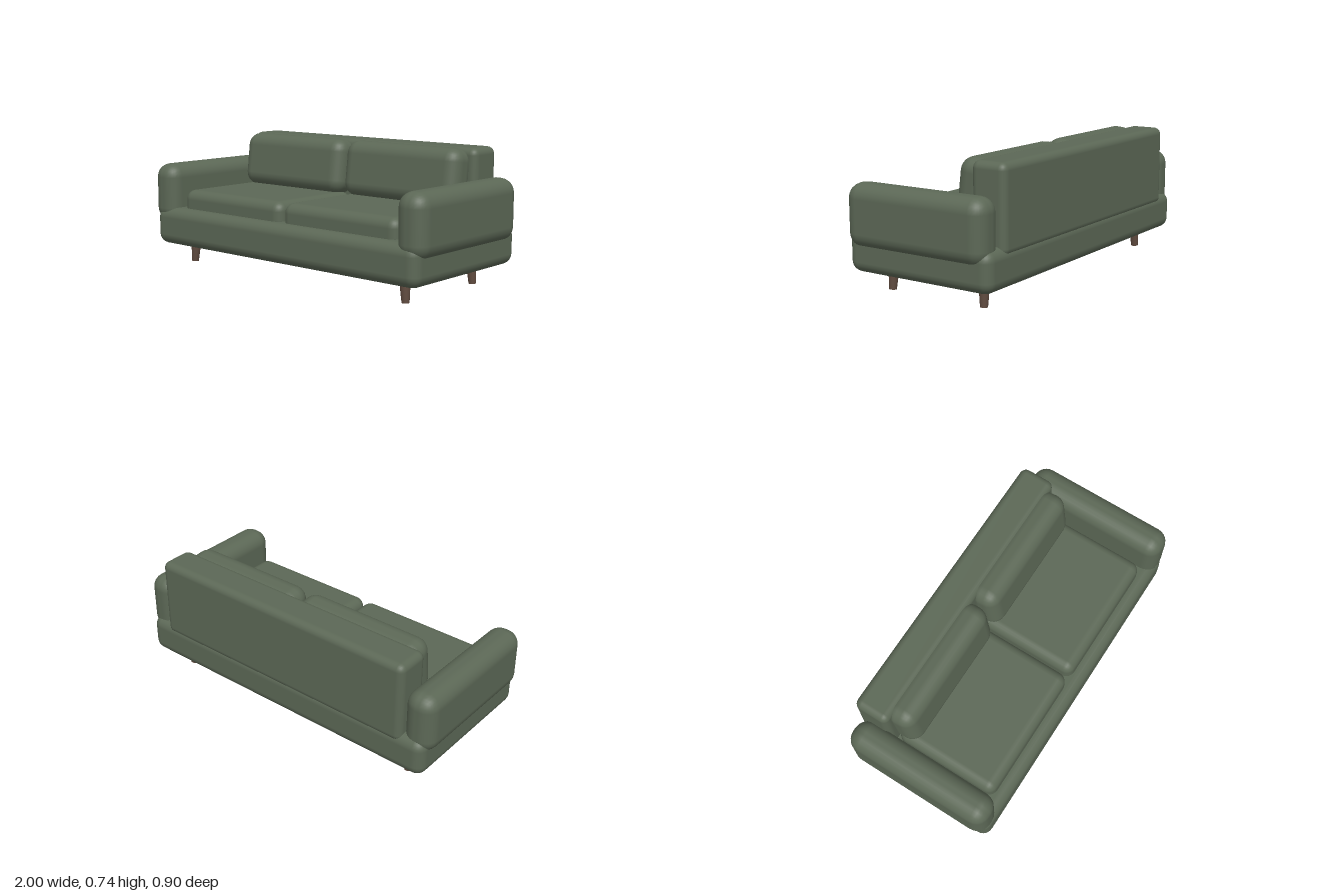
import * as THREE from 'three';
import { RoundedBoxGeometry } from 'three/addons/geometries/RoundedBoxGeometry.js';

const fabric = new THREE.MeshStandardMaterial({ color: 0x5c6856 });
fabric.name = 'greenFabric';
const wood = new THREE.MeshStandardMaterial({ color: 0x614c40 });
wood.name = 'brownWood';

// Upholstered block with soft edges, placed by its centre
function pad(name, [w, h, d], [x, y, z], radius) {
  const mesh = new THREE.Mesh(new RoundedBoxGeometry(w, h, d, 3, radius), fabric);
  mesh.name = name;
  mesh.position.set(x, y, z);
  return mesh;
}

export function createModel() {
  const sofa = new THREE.Group();
  sofa.name = 'sofa';

  // Frame
  sofa.add(pad('base', [1.94, 0.22, 0.9], [0, 0.222, 0], 0.06));
  sofa.add(pad('backrest', [1.67, 0.465, 0.205], [0, 0.511, -0.348], 0.04));

  for (const side of [-1, 1]) {
    const label = side > 0 ? 'left' : 'right';

    // Arm and cushions
    sofa.add(pad(label + 'Arm', [0.18, 0.342, 0.87], [side * 0.91, 0.417, 0.01], 0.08));
    sofa.add(pad(label + 'SeatCushion', [0.79, 0.16, 0.62], [side * 0.402, 0.36, 0.07], 0.055));
    const backCushion = pad(label + 'BackCushion', [0.785, 0.318, 0.18], [side * 0.402, 0.585, -0.202], 0.075);
    backCushion.rotation.x = -0.12;
    sofa.add(backCushion);

    // Tapered legs, splayed slightly outwards
    for (const end of [-1, 1]) {
      const leg = new THREE.Mesh(new THREE.CylinderGeometry(0.03, 0.0205, 0.125, 16), wood);
      leg.name = label + (end > 0 ? 'FrontLeg' : 'RearLeg');
      leg.position.set(side * 0.792, 0.064, end * 0.295);
      leg.rotation.set(-end * 0.03, 0, side * 0.07);
      sofa.add(leg);
    }
  }
  return sofa;
}
